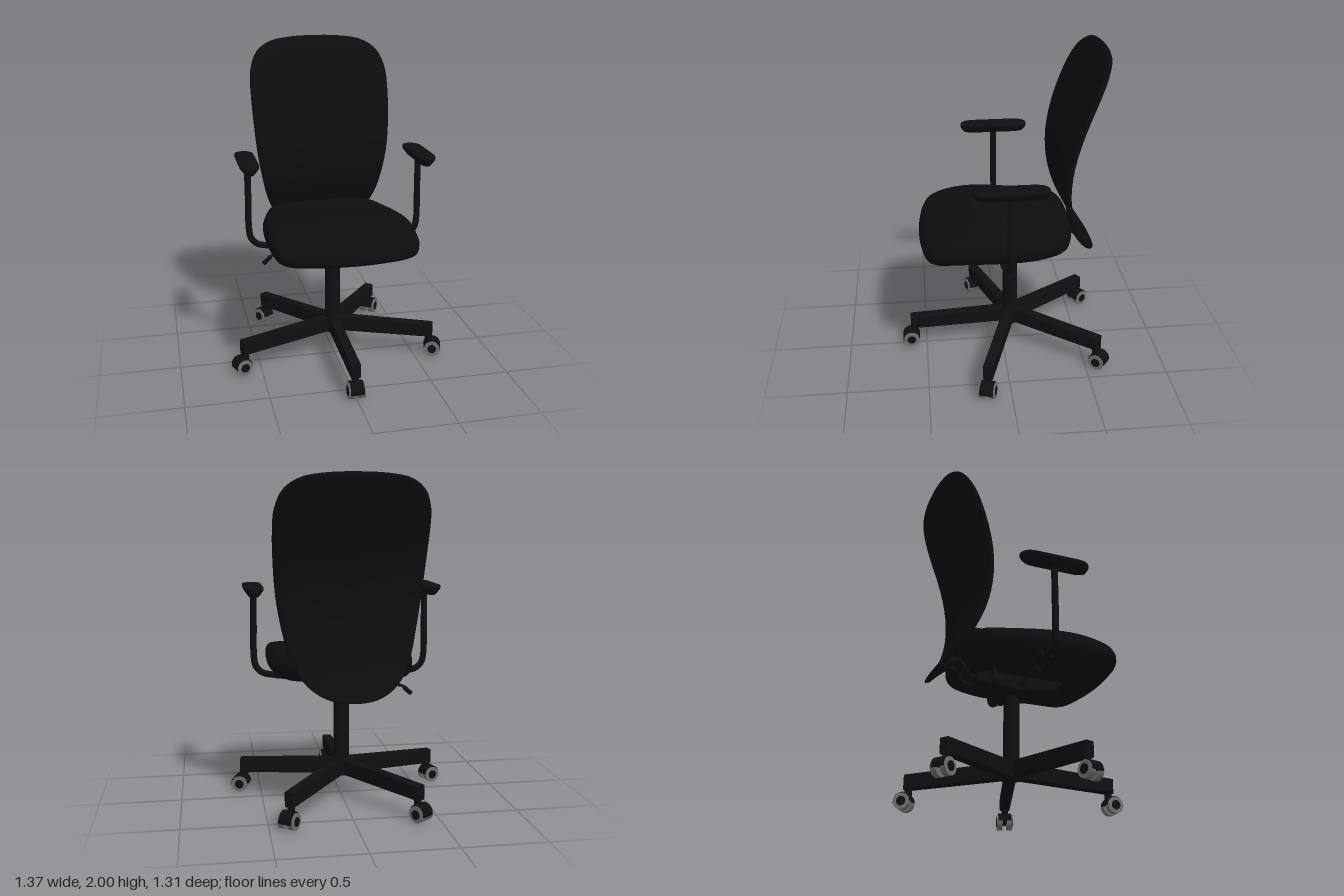
import * as THREE from 'three';

const mat = (name, color, side = THREE.FrontSide) => {
  const m = new THREE.MeshStandardMaterial({ color, side });
  m.name = name;
  return m;
};

// smooth polynomial through a few [t, value] points
const through = (pts) => (t) => pts.reduce((sum, [a, v], i) =>
  sum + pts.reduce((p, [b], j) => (i === j ? p : p * (t - b) / (a - b)), v), 0);

// cushion solid: a mirrored outline scaled into rings, following [scale, height] pairs
function cushion(half, centre, profile, place) {
  const mirrored = half.slice(1, -1).reverse().map(([u, v]) => [-u, v]);
  const curve = new THREE.CatmullRomCurve3(
    [...half, ...mirrored].map(([u, v]) => new THREE.Vector3(u, v, 0)), true);
  const n = 72, pos = [], idx = [];
  const ring = curve.getPoints(n).slice(0, n);
  profile.forEach(([s, h]) => ring.forEach((p) =>
    pos.push(...place(p.x * s, centre + (p.y - centre) * s, h))));
  for (let i = 0; i < profile.length - 1; i++) {
    for (let j = 0; j < n; j++) {
      const k = (j + 1) % n, a = i * n, b = a + n;
      idx.push(a + j, b + j, b + k, a + j, b + k, a + k);
    }
  }
  const g = new THREE.BufferGeometry();
  g.setAttribute('position', new THREE.Float32BufferAttribute(pos, 3));
  g.setIndex(idx);
  g.computeVertexNormals();
  return g;
}

// extruded polygon centred on its depth
function slab(points, depth, bevel = 0.008) {
  const shape = new THREE.Shape(points.map(([x, y]) => new THREE.Vector2(x, y)));
  const g = new THREE.ExtrudeGeometry(shape, {
    depth: depth - 2 * bevel, bevelEnabled: true, bevelSize: bevel, bevelOffset: -bevel,
    bevelThickness: bevel, bevelSegments: 2, curveSegments: 16,
  });
  return g.translate(0, 0, -depth / 2 + bevel);
}

export function createModel() {
  const model = new THREE.Group();
  const fabric = mat('black fabric', 0x0d0d0d);
  const plastic = mat('black plastic', 0x0f0f0f);
  const grey = mat('grey tread', 0x707070);

  const add = (parent, name, geometry, material, x = 0, y = 0, z = 0) => {
    const m = new THREE.Mesh(geometry, material);
    m.name = name;
    m.position.set(x, y, z);
    parent.add(m);
    return m;
  };
  const vec = (p) => new THREE.Vector3(...p);
  const tube = (pts, r) => new THREE.TubeGeometry(
    new THREE.CatmullRomCurve3(pts.map(vec), false, 'centripetal'), 40, r, 12);

  // seat cushion with a waterfall front edge
  const seatTop = through([[-0.42, 0.952], [0, 0.945], [0.35, 0.932], [0.52, 0.865]]);
  const seatBottom = through([[-0.42, 0.81], [0, 0.795], [0.32, 0.8], [0.52, 0.78]]);
  add(model, 'seat', cushion(
    [[0, 0.52], [0.2, 0.508], [0.36, 0.478], [0.42, 0.43], [0.445, 0.3], [0.452, 0.1],
      [0.437, -0.1], [0.4, -0.25], [0.345, -0.36], [0.2, -0.41], [0, -0.42]], 0.05,
    [[0, 1], [0.25, 1], [0.5, 1], [0.7, 1], [0.85, 0.99], [0.93, 0.95], [0.975, 0.86], [1, 0.65],
      [1, 0.4], [0.985, 0.2], [0.95, 0.07], [0.9, 0.01], [0.7, 0], [0.35, 0], [0, 0]],
    (x, z, h) => [x, THREE.MathUtils.lerp(seatBottom(z), seatTop(z), h), z]), fabric);

  // backrest shell, bowed at the lumbar and wrapping forward at the sides
  const spine = through([[0.72, -0.585], [1.05, -0.415], [1.45, -0.418], [2, -0.622]]);
  add(model, 'backrest', cushion(
    [[0, 0.71], [0.12, 0.722], [0.22, 0.765], [0.3, 0.84], [0.36, 0.96], [0.4, 1.12], [0.43, 1.3],
      [0.446, 1.5], [0.452, 1.7], [0.444, 1.8], [0.4, 1.905], [0.31, 1.968], [0.18, 1.993], [0, 2]], 1.35,
    [[0, 1], [0.2, 1], [0.4, 1], [0.6, 1], [0.75, 1], [0.88, 1], [0.96, 0.97], [0.99, 0.8], [1, 0.5],
      [0.99, 0.2], [0.96, 0.03], [0.88, 0], [0.75, 0], [0.6, 0], [0.4, 0], [0.2, 0], [0, 0]],
    (x, y, h) => [x, y, spine(y) + 0.17 * x * x + 0.037 * h]), fabric);

  // armrests
  for (const s of [1, -1]) {
    const arm = new THREE.Group();
    arm.name = s > 0 ? 'leftArmrest' : 'rightArmrest';
    model.add(arm);
    add(arm, 'armPad', cushion(
      [[0, 0.217], [0.035, 0.202], [0.055, 0.165], [0.058, 0.1], [0.058, -0.1],
        [0.055, -0.168], [0.035, -0.205], [0, -0.22]], 0,
      [[0, 1], [0.5, 1], [0.93, 1], [0.98, 0.96], [1, 0.85], [1, 0.65], [0.96, 0.3], [0.9, 0.05],
        [0.85, 0], [0.4, 0], [0, 0]],
      (x, z, h) => [s * 0.54 + x * Math.min(1, 0.55 + 0.65 * h), 1.28 + 0.06 * h, z]), plastic);
    add(arm, 'armPost', tube([[0.537, 1.29, 0], [0.537, 1.1, 0], [0.537, 0.89, 0], [0.525, 0.835, 0],
      [0.49, 0.798, 0], [0.44, 0.783, 0], [0.28, 0.767, 0]].map(([x, y, z]) => [s * x, y, z]), 0.02), plastic);
    add(arm, 'armBracket', slab([[0.27, 0.748], [0.42, 0.765], [0.42, 0.8], [0.27, 0.8]]
      .map(([x, y]) => [s * x, y]), 0.09), plastic);
  }

  // tilt mechanism under the seat
  const mechanism = new THREE.Group();
  mechanism.name = 'tiltMechanism';
  model.add(mechanism);
  add(mechanism, 'housing', slab([[0.235, 0.79], [0.235, 0.73], [0.19, 0.685], [-0.06, 0.66],
    [-0.15, 0.67], [-0.22, 0.71], [-0.22, 0.79]], 0.23, 0.015), plastic).rotation.y = -Math.PI / 2;
  add(mechanism, 'seatPlate', slab([[-0.24, 0.81], [-0.2, 0.785], [-0.115, 0.755], [0.115, 0.755],
    [0.2, 0.785], [0.24, 0.81]], 0.42), plastic, 0, 0, 0.015);
  add(mechanism, 'pivotBlock', slab([[-0.2, 0.775], [-0.2, 0.7], [-0.28, 0.7], [-0.31, 0.72],
    [-0.3, 0.75], [-0.25, 0.775]], 0.15), plastic).rotation.y = -Math.PI / 2;
  for (const z of [-0.225, -0.275]) {
    add(mechanism, 'pivotPin', new THREE.CylinderGeometry(0.015, 0.015, 0.17, 16).rotateZ(Math.PI / 2),
      plastic, 0, 0.71, z);
  }
  for (const x of [-0.06, 0.06]) {
    add(mechanism, 'backLink', tube([[x, 0.72, -0.28], [x, 0.735, -0.34], [x, 0.815, -0.415],
      [x, 0.79, -0.48], [x, 0.745, -0.55]], 0.013), plastic);
  }
  add(mechanism, 'backMount', new THREE.BoxGeometry(0.2, 0.1, 0.03), plastic, 0, 0.79, -0.49)
    .rotation.x = 0.85;

  // tilt lever on the right side
  add(model, 'lever', tube([[-0.08, 0.7, -0.05], [-0.25, 0.7, -0.05], [-0.37, 0.698, -0.05],
    [-0.395, 0.69, -0.05], [-0.44, 0.645, -0.05]], 0.009), plastic);
  add(model, 'leverGrip', tube([[-0.4, 0.687, -0.05], [-0.42, 0.666, -0.05], [-0.448, 0.642, -0.05]], 0.014), plastic);

  // gas column and five-legged base, sharing one axis
  const base = new THREE.Group();
  base.name = 'base';
  base.position.z = -0.055;
  model.add(base);
  add(base, 'column', new THREE.CylinderGeometry(0.048, 0.048, 0.42, 32), plastic, 0, 0.43);
  add(base, 'piston', new THREE.CylinderGeometry(0.036, 0.03, 0.06, 24), plastic, 0, 0.66);
  add(base, 'hub', new THREE.CylinderGeometry(0.058, 0.065, 0.11, 32), plastic, 0, 0.2);

  const legGeo = slab([[0, 0.148], [0.655, 0.125], [0.655, 0.215], [0, 0.25]], 0.064);
  const hoodArc = Array.from({ length: 17 }, (_, i) => {
    const a = -0.2 + (Math.PI + 0.2) * i / 16;
    return [0.055 * Math.cos(a), 0.055 * Math.sin(a)];
  });
  const hoodGeo = slab(hoodArc, 0.084, 0.004);
  const wheelGeo = new THREE.CylinderGeometry(0.05, 0.05, 0.036, 28).rotateX(Math.PI / 2);
  const capGeo = new THREE.CylinderGeometry(0.028, 0.028, 0.006, 24).rotateX(Math.PI / 2);
  const stemGeo = new THREE.CylinderGeometry(0.022, 0.022, 0.06, 16);
  for (let i = 0; i < 5; i++) {
    const leg = new THREE.Group();
    leg.name = 'leg' + (i + 1);
    leg.rotation.y = i * Math.PI * 0.4 - Math.PI / 2;
    base.add(leg);
    add(leg, 'legBeam', legGeo, plastic);
    const caster = new THREE.Group();
    caster.name = 'caster';
    caster.position.set(0.655, 0.052, 0);
    leg.add(caster);
    add(caster, 'casterStem', stemGeo, plastic, -0.025, 0.07);
    add(caster, 'casterHood', hoodGeo, plastic);
    for (const s of [1, -1]) {
      add(caster, 'wheel', wheelGeo, grey, 0, -0.002, s * 0.031);
      add(caster, 'wheelCap', capGeo, plastic, 0, -0.002, s * 0.05);
    }
  }
  return model;
}
